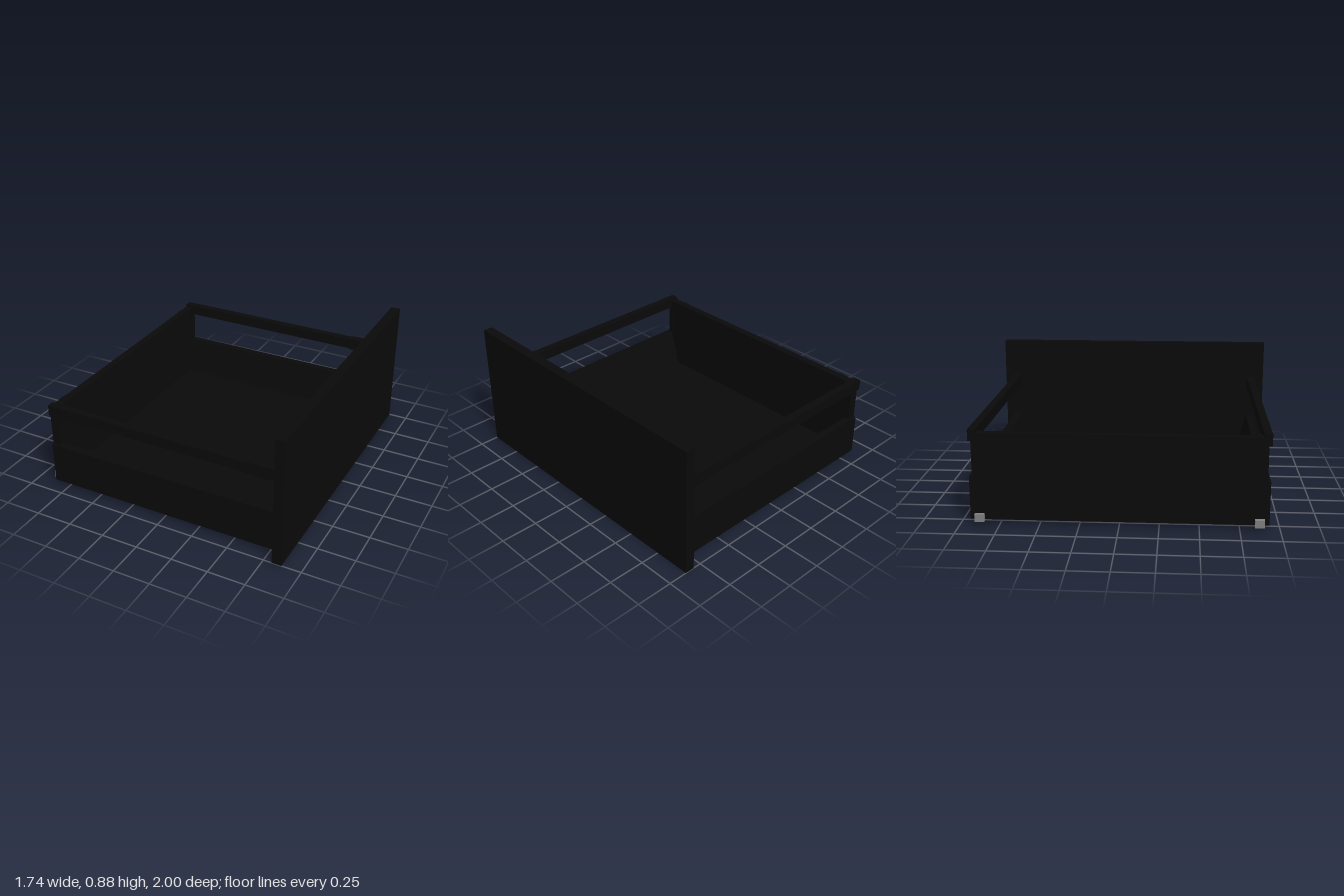
import * as THREE from 'three';

export function createModel() {
  const model = new THREE.Group();
  const black = new THREE.MeshStandardMaterial({ color: 0x0a0a0a });
  const steel = new THREE.MeshStandardMaterial({ color: 0x808080 });

  const add = (name, geometry, material = black) => {
    const mesh = new THREE.Mesh(geometry, material);
    mesh.name = name;
    model.add(mesh);
    return mesh;
  };

  // Box given by its minimum and maximum on each axis
  const box = (name, [x0, x1], [y0, y1], [z0, z1], material) => {
    const mesh = add(name, new THREE.BoxGeometry(x1 - x0, y1 - y0, z1 - z0), material);
    mesh.position.set((x0 + x1) / 2, (y0 + y1) / 2, (z0 + z1) / 2);
    return mesh;
  };

  // Same box on the side s (+1 or -1) of the drawer
  const sideBox = (name, s, x, y, [z0, z1], material) =>
    box(name, x, y, s > 0 ? [z0, z1] : [-z1, -z0], material);

  // Panels
  box('frontPanel', [0.805, 0.87], [0, 0.885], [-1, 1]);
  box('bottomPanel', [-0.84, 0.805], [0.04, 0.07], [-0.84, 0.84]);
  box('backPanel', [-0.842, -0.79], [0.04, 0.6], [-0.88, 0.88]);

  for (const s of [1, -1]) {
    // Side wall: vertical outside, sloping inside
    const profile = new THREE.Shape([
      [0.93, 0.04], [0.93, 0.32], [0.88, 0.32], [0.815, 0.07], [0.815, 0.04],
    ].map(([z, y]) => new THREE.Vector2(-s * z, y)));
    const wall = add('sideWall', new THREE.ExtrudeGeometry(profile, { depth: 1.645, bevelEnabled: false }));
    wall.rotation.y = Math.PI / 2;
    wall.position.x = -0.84;

    // Upper rail with its post and front sleeve
    sideBox('rearPost', s, [-0.845, -0.785], [0.3, 0.6], [0.86, 0.91]);
    sideBox('rail', s, [-0.84, 0.56], [0.547, 0.62], [0.88, 0.93]);
    sideBox('railSleeve', s, [0.55, 0.81], [0.542, 0.625], [0.877, 0.932]);

    // Back bracket
    sideBox('backBracket', s, [-0.847, -0.84], [0.1, 0.6], [0.745, 0.805]);

    // Runner, rear hook and front coupling
    sideBox('runner', s, [-0.85, 0.68], [0.03, 0.045], [0.84, 0.9], steel);
    sideBox('runnerHook', s, [-0.87, -0.84], [0.03, 0.08], [0.84, 0.9], steel);
    sideBox('runnerCoupling', s, [0.68, 0.805], [0.032, 0.05], [0.82, 0.92]);

    // Handle screw head on the inside of the front
    const screw = add('handleScrew', new THREE.CylinderGeometry(0.01, 0.01, 0.008, 16));
    screw.rotation.z = Math.PI / 2;
    screw.position.set(0.802, 0.73, s * 0.26);
  }
  return model;
}
